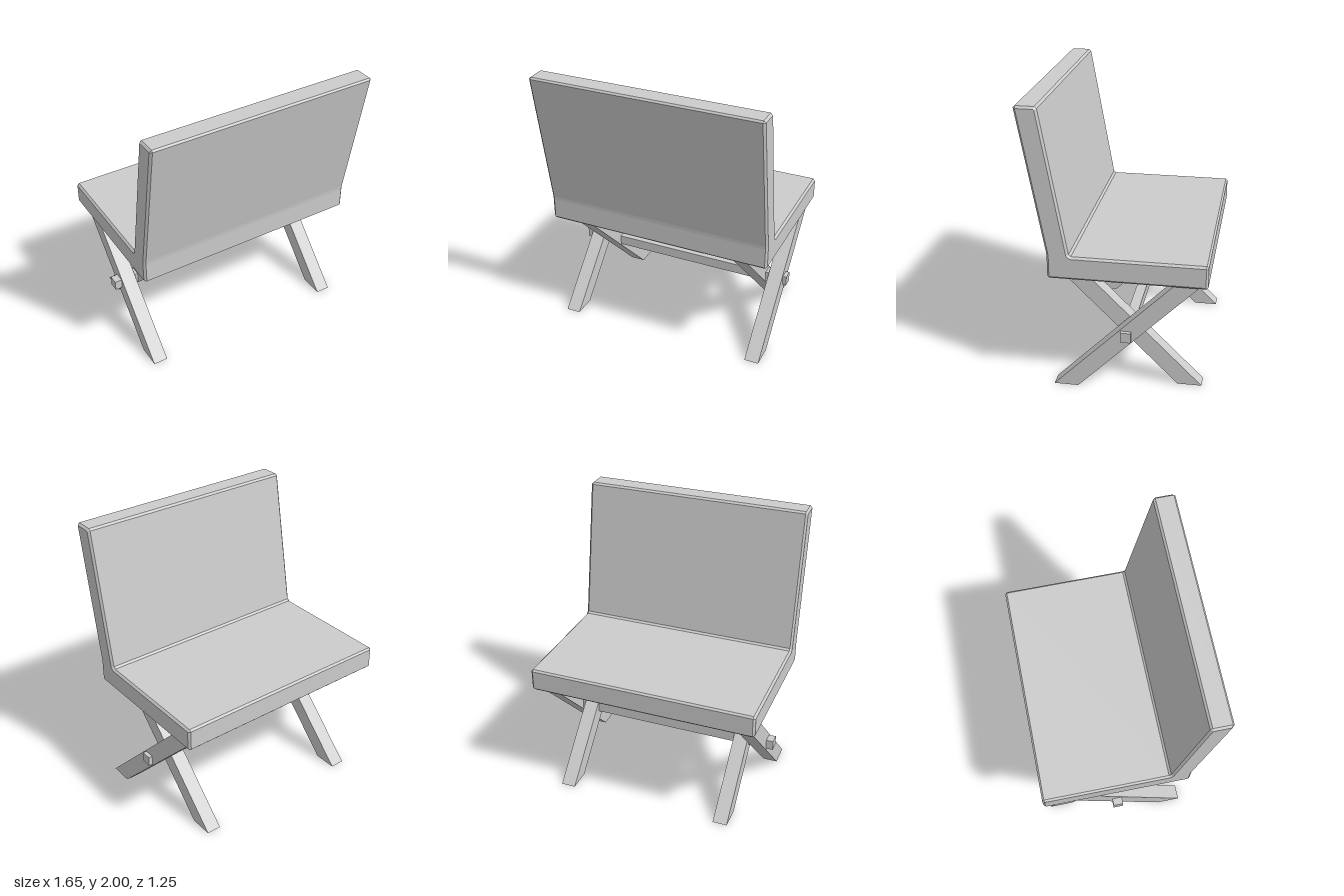
import * as THREE from 'three';

const grey = new THREE.MeshStandardMaterial({ color: 0xcccccc, flatShading: true, side: THREE.DoubleSide });

// Shape from [z, y] corners, each corner cut off by a small chamfer.
function chamferedShape(corners, cut) {
  const pts = corners.map(([z, y]) => new THREE.Vector2(-z, y));
  const out = [];
  pts.forEach((p, i) => {
    const prev = pts[(i + pts.length - 1) % pts.length];
    const next = pts[(i + 1) % pts.length];
    for (const q of [prev, next]) {
      out.push(p.clone().add(q.clone().sub(p).setLength(cut)));
    }
  });
  return new THREE.Shape(out);
}

// Seat and leaning backrest: one L-shaped profile run across the width.
function makeSeat() {
  const halfWidth = 0.823, bevel = 0.015;
  const shape = chamferedShape([
    [-0.622, 0.83], [-0.622, 0.995], [0.297, 0.995], [0.475, 2],
    [0.627, 2], [0.447, 1], [0.447, 0.83],
  ], 0.013);
  const geo = new THREE.ExtrudeGeometry(shape, {
    depth: 2 * (halfWidth - bevel), bevelEnabled: true, bevelSegments: 1,
    bevelSize: bevel, bevelThickness: bevel, bevelOffset: -bevel,
  });
  geo.translate(0, 0, -(halfWidth - bevel));
  geo.rotateY(Math.PI / 2);
  const seat = new THREE.Mesh(geo, grey);
  seat.name = 'seatAndBackrest';
  return seat;
}

// Slanted leg: an open square tube sheared along z, cut level at both ends.
function makeLeg(name, x, zBottom, zTop) {
  const width = 0.105, depth = 0.168, height = 0.832;
  const geo = new THREE.CylinderGeometry(Math.SQRT1_2, Math.SQRT1_2, 1, 4, 1, true);
  geo.rotateY(Math.PI / 4);
  geo.translate(0, 0.5, 0);
  geo.scale(width, height, depth);
  const pos = geo.attributes.position;
  for (let i = 0; i < pos.count; i++) {
    const t = pos.getY(i) / height;
    pos.setZ(i, pos.getZ(i) + THREE.MathUtils.lerp(zBottom, zTop, t));
  }
  geo.computeVertexNormals();
  const leg = new THREE.Mesh(geo, grey);
  leg.name = name;
  leg.position.x = x;
  return leg;
}

export function createModel() {
  const group = new THREE.Group();
  group.name = 'chair';
  group.add(makeSeat());

  // Crossed legs: the outer one of each pair slants against the inner one.
  for (const [side, s] of [['left', 1], ['right', -1]]) {
    group.add(makeLeg(side + 'OuterLeg', 0.007 + s * 0.733, 0.345, -0.485));
    group.add(makeLeg(side + 'InnerLeg', 0.007 + s * 0.6, -0.502, 0.33));
  }

  // Square stretcher through the leg crossings.
  const stretcher = new THREE.Mesh(new THREE.BoxGeometry(1.65, 0.073, 0.072), grey);
  stretcher.name = 'stretcher';
  stretcher.position.set(-0.005, 0.423, -0.077);
  group.add(stretcher);

  return group;
}
